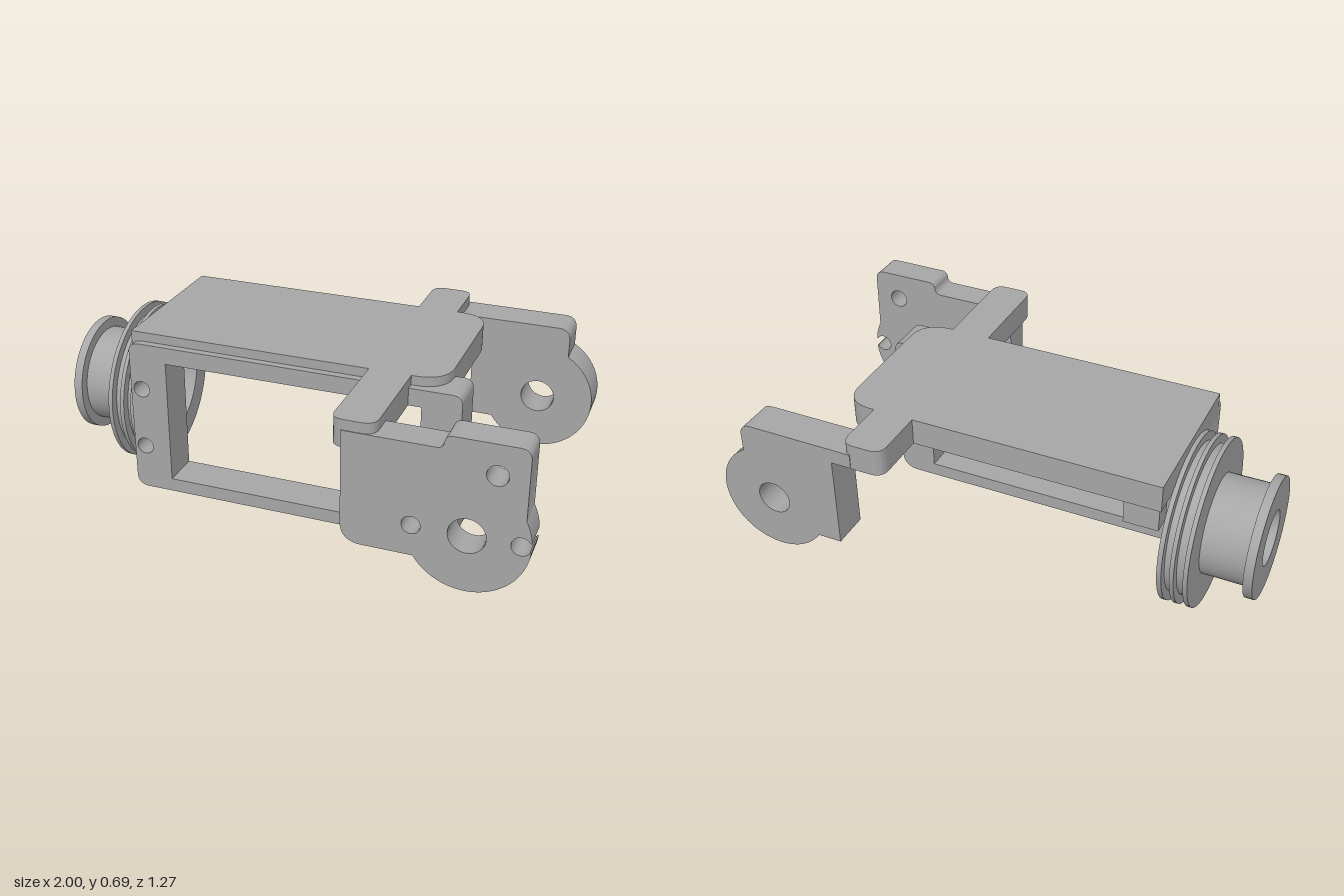
import * as THREE from 'three';
import { toCreasedNormals } from 'three/addons/utils/BufferGeometryUtils.js';

export function createModel() {
  const model = new THREE.Group();
  model.name = 'servoBracket';
  const grey = new THREE.MeshStandardMaterial({ color: 0xa6a6a6 });
  grey.name = 'machined grey';

  const circle = (x, y, r) => new THREE.Path().absarc(x, y, r, 0, Math.PI * 2, false);
  const extrude = (shape, depth) => toCreasedNormals(
    new THREE.ExtrudeGeometry(shape, { depth, bevelEnabled: false, curveSegments: 24 }), 0.5);
  function add(name, geometry, x = 0, y = 0, z = 0) {
    const mesh = new THREE.Mesh(geometry, grey);
    mesh.name = name;
    mesh.position.set(x, y, z);
    model.add(mesh);
  }

  // outline from [x, y, cornerRadius] points
  function roundedOutline(points, Type = THREE.Shape) {
    const path = new Type();
    const n = points.length;
    points.forEach(([x, y, r = 0], i) => {
      const p = new THREE.Vector2(x, y);
      const toward = ([qx, qy]) => new THREE.Vector2(qx, qy).sub(p).setLength(r).add(p);
      const a = toward(points[(i + n - 1) % n]);
      const b = toward(points[(i + 1) % n]);
      if (i === 0) path.moveTo(a.x, a.y); else path.lineTo(a.x, a.y);
      if (r > 0) path.quadraticCurveTo(x, y, b.x, b.y);
    });
    path.closePath();
    return path;
  }

  // top plate with its two side arms
  const top = extrude(roundedOutline([
    [-0.675, -0.405], [0.29, -0.405], [0.29, -0.635, 0.05], [0.45, -0.635, 0.05],
    [0.45, -0.405], [0.58, -0.405, 0.12], [0.58, 0.225, 0.12], [0.45, 0.225],
    [0.45, 0.632, 0.05], [0.29, 0.632, 0.05], [0.29, 0.225], [-0.675, 0.225],
  ]), 0.105);
  top.rotateX(Math.PI / 2);
  add('topPlate', top, 0, 0.685, 0);

  // front window frame, relieved by an arc around the pivot
  const frame = new THREE.Shape();
  frame.moveTo(-0.625, 0.02);
  frame.lineTo(0.58, 0.02);
  frame.quadraticCurveTo(0.65, 0.02, 0.65, 0.09);
  frame.lineTo(0.65, 0.187);
  frame.absarc(0.78, 0.33, 0.193, Math.PI + 0.833, Math.PI - 0.833, true);
  frame.lineTo(0.65, 0.61);
  frame.quadraticCurveTo(0.65, 0.648, 0.61, 0.648);
  frame.lineTo(-0.625, 0.648);
  frame.quadraticCurveTo(-0.675, 0.648, -0.675, 0.61);
  frame.lineTo(-0.675, 0.07);
  frame.quadraticCurveTo(-0.675, 0.02, -0.625, 0.02);
  frame.holes.push(roundedOutline(
    [[-0.52, 0.075], [0.5, 0.075], [0.5, 0.58], [-0.52, 0.58]], THREE.Path));
  for (const x of [-0.63, 0.585])
    for (const y of [0.205, 0.455]) frame.holes.push(circle(x, y, 0.034));
  add('windowFrame', extrude(frame, 0.155), 0, 0, 0.1);

  // front ear: pivot disc, mounting tab and open slot
  const px = 0.78, py = 0.33, R = 0.22;
  const lowerAngle = Math.atan2(-0.12, -0.184);
  const front = new THREE.Shape();
  front.moveTo(0.33, 0.645);
  front.lineTo(0.33, 0.29);
  front.quadraticCurveTo(0.33, 0.21, 0.41, 0.21);
  front.absarc(px, py, R, lowerAngle, -0.082, false);
  front.absarc(0.965, py, 0.035, -0.54, 0.54, true);
  front.absarc(px, py, R, 0.082, 0.474, false);
  front.lineTo(0.975, 0.655);
  front.quadraticCurveTo(0.975, 0.695, 0.935, 0.695);
  front.lineTo(0.72, 0.695);
  front.quadraticCurveTo(0.69, 0.695, 0.688, 0.67);
  front.quadraticCurveTo(0.685, 0.645, 0.66, 0.645);
  front.closePath();
  front.holes.push(circle(px, py, 0.067), circle(0.87, 0.58, 0.038), circle(0.585, py, 0.034));
  add('frontEar', extrude(front, 0.12), 0, 0, 0.515);

  // back ear: plain pivot disc hanging from the arm
  const back = new THREE.Shape();
  back.moveTo(0.42, 0.64);
  back.lineTo(0.42, 0.581);
  back.lineTo(0.5, 0.581);
  back.lineTo(0.5, 0.21);
  back.absarc(px, py, R, lowerAngle, Math.PI / 3, false);
  back.lineTo(0.89, 0.59);
  back.quadraticCurveTo(0.89, 0.64, 0.84, 0.64);
  back.closePath();
  back.holes.push(circle(px, py, 0.067));
  add('backEar', extrude(back, 0.145), 0, 0, -0.635);

  // stop block under the plate
  add('stopBlock', new THREE.BoxGeometry(0.135, 0.15, 0.078), -0.582, 0.51, -0.3);

  // keyhole recess in the inner face of the drum
  const cx = 0.08, cy = 0.328;
  function keyhole() {
    const path = new THREE.Path();
    const a = Math.acos(0.16 / 0.235);
    path.absarc(cx, cy, 0.235, Math.PI - a, Math.PI * 2 + a, false);
    path.lineTo(cx + 0.16, 0.555);
    path.lineTo(cx - 0.16, 0.555);
    path.closePath();
    return path;
  }

  // grooved drum and spool: [name, radius, start x, end x, recessed]
  const rings = [
    ['spoolRim', 0.235, -1, -0.965, false],
    ['spoolNeck', 0.195, -0.965, -0.79, false],
    ['drumOuterRim', 0.327, -0.79, -0.773, false],
    ['drumGroove', 0.292, -0.773, -0.738, false],
    ['drumMiddleRim', 0.327, -0.738, -0.722, true],
    ['drumGroove', 0.292, -0.722, -0.692, true],
    ['drumInnerRim', 0.327, -0.692, -0.674, true],
  ];
  for (const [name, r, x0, x1, recessed] of rings) {
    const ring = new THREE.Shape().absarc(cx, cy, r, 0, Math.PI * 2, false);
    ring.holes.push(recessed ? keyhole() : circle(cx, cy, 0.108));
    const geometry = extrude(ring, x1 - x0);
    geometry.rotateY(Math.PI / 2);
    add(name, geometry, x0, 0, 0);
  }
  return model;
}
